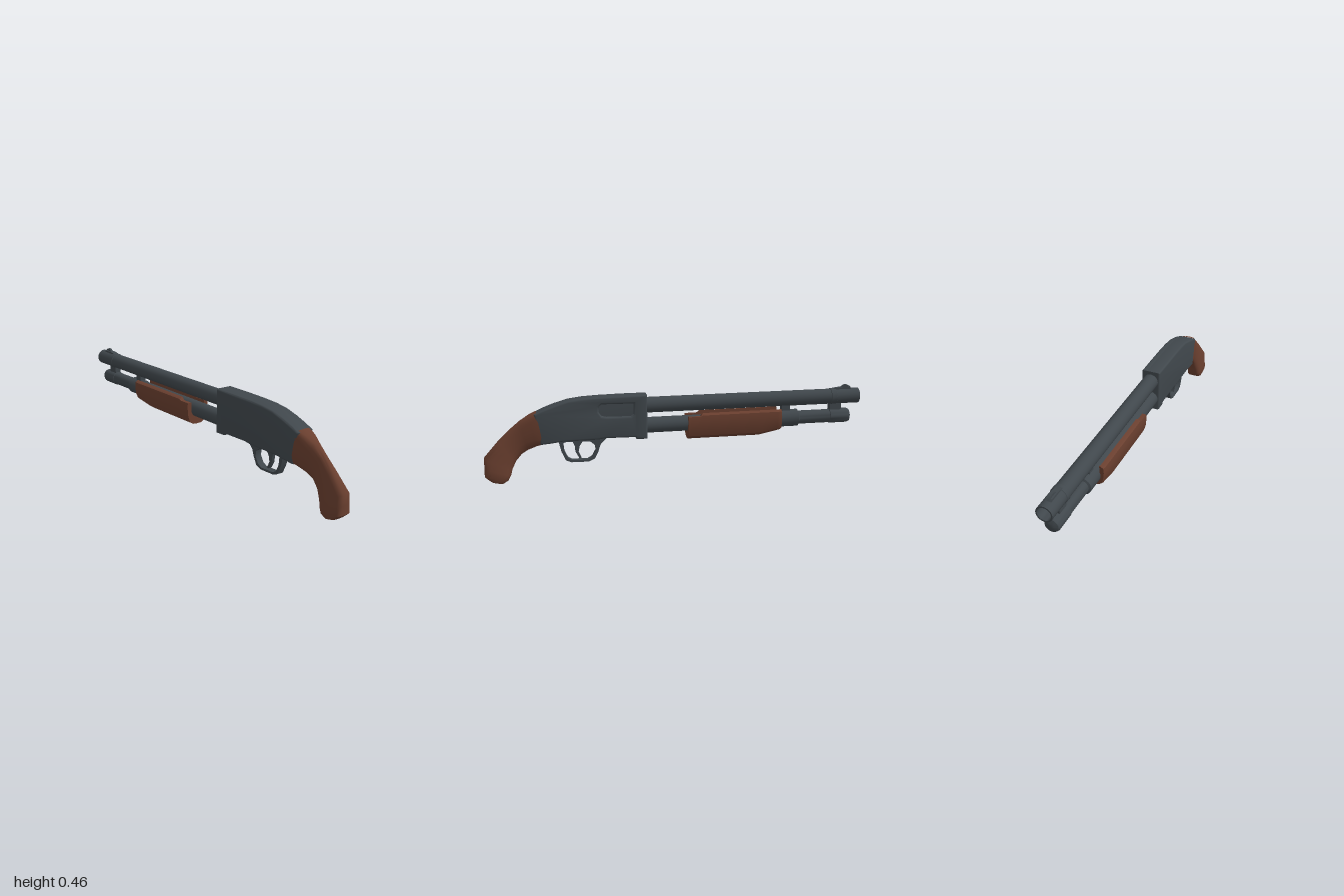
import * as THREE from 'three';
import { toCreasedNormals } from 'three/addons/utils/BufferGeometryUtils.js';

const steel = new THREE.MeshStandardMaterial({ color: 0x40474c });
steel.name = 'blued steel';
const wood = new THREE.MeshStandardMaterial({ color: 0x6a3f2f });
wood.name = 'brown wood';

function part(parent, name, geometry, material, crease = 0.7) {
  const mesh = new THREE.Mesh(toCreasedNormals(geometry, crease), material);
  mesh.name = name;
  parent.add(mesh);
  return mesh;
}

// Side profile given as [z, y] points, extruded from x0 to x1
function sideExtrude(points, x0, x1, bevel = 0, hole = null) {
  const toV = (list) => list.map(([z, y]) => new THREE.Vector2(-z, y));
  const shape = new THREE.Shape(toV(points));
  if (hole) shape.holes.push(new THREE.Path(toV(hole)));
  const geo = new THREE.ExtrudeGeometry(shape, {
    depth: x1 - x0 - 2 * bevel, bevelEnabled: bevel > 0, bevelSize: bevel,
    bevelThickness: bevel, bevelOffset: -bevel, bevelSegments: 3,
  });
  return geo.rotateY(Math.PI / 2).translate(x0 + bevel, 0, 0);
}

// Turned profile of [radius, distance towards the muzzle]
function turned(profile, y) {
  const pts = profile.map(([r, d]) => new THREE.Vector2(r, d));
  return new THREE.LatheGeometry(pts, 24).rotateX(-Math.PI / 2).translate(0, y, 0);
}

// Skin over sections: [topZ, topY, bottomZ, bottomY, halfWidth, roundness]
function loft(sections, n = 20) {
  const pos = [], index = [];
  const bend = (v, p) => Math.sign(v) * Math.abs(v) ** p;
  for (const [tz, ty, bz, by, w, p] of sections) {
    for (let j = 0; j < n; j++) {
      const a = (j / n) * Math.PI * 2;
      const s = bend(Math.sin(a), p) / 2;
      pos.push(w * bend(Math.cos(a), p), (ty + by) / 2 + (ty - by) * s, (tz + bz) / 2 + (tz - bz) * s);
    }
  }
  const last = sections.length - 1;
  for (let i = 0; i < last; i++) {
    for (let j = 0; j < n; j++) {
      const k = (j + 1) % n, a = i * n, b = a + n;
      index.push(a + j, a + k, b + k, a + j, b + k, b + j);
    }
  }
  const [tz, ty, bz, by] = sections[last];
  pos.push(0, (ty + by) / 2, (tz + bz) / 2);
  for (let j = 0; j < n; j++) index.push(pos.length / 3 - 1, last * n + j, last * n + (j + 1) % n);
  const geo = new THREE.BufferGeometry();
  geo.setAttribute('position', new THREE.Float32BufferAttribute(pos, 3));
  geo.setIndex(index);
  geo.computeVertexNormals();
  return geo;
}

// U-shaped sliding handle, tapered at the muzzle end and notched at the rear
function foreEndGeometry(cy) {
  const outer = [[0.048, 0.055], [0.064, 0.046], [0.067, 0.02], [0.062, -0.03], [0.051, -0.064], [0.028, -0.08]];
  const inner = [[0.042, 0.055], [0.042, 0], [0.03, -0.03]];
  const mirror = (list) => list.map(([x, y]) => [-x, y]).reverse();
  const loop = [...outer, [0, -0.082], ...mirror(outer), ...inner.map(([x, y]) => [-x, y]),
    [0, -0.042], ...[...inner].reverse()];
  const shape = new THREE.Shape(loop.map(([x, y]) => new THREE.Vector2(x, y)));
  const geo = new THREE.ExtrudeGeometry(shape, { depth: 0.505, steps: 40, bevelEnabled: false });
  geo.translate(0, 0, -0.555);
  const p = geo.attributes.position;
  for (let i = 0; i < p.count; i++) {
    let x = p.getX(i), y = p.getY(i);
    const z = p.getZ(i);
    if (Math.hypot(x, y) > 0.045) {
      const t = THREE.MathUtils.clamp((-0.435 - z) / 0.12, 0, 1);
      if (y < 0) y *= 1 - 0.3 * t;
      if (z < -0.55) x *= 0.93;
    }
    if (z > -0.115) y = Math.min(y, 0.04);
    p.setXYZ(i, x, y + cy, z);
  }
  return geo;
}

export function createModel() {
  const model = new THREE.Group();
  model.name = 'shortPumpShotgun';

  // Receiver: solid core plus a right-hand wall with the ejection port cut in it
  const profile = [[0.165, 0.443], [0.3, 0.441], [0.42, 0.437], [0.5, 0.432], [0.57, 0.422], [0.64, 0.401],
    [0.7, 0.378], [0.742, 0.358], [0.712, 0.2], [0.66, 0.205], [0.6, 0.213], [0.42, 0.217],
    [0.38, 0.223], [0.228, 0.223], [0.222, 0.212], [0.165, 0.212]];
  const port = [[0.235, 0.4], [0.4, 0.4], [0.417, 0.385], [0.417, 0.36], [0.4, 0.338], [0.375, 0.333],
    [0.25, 0.333], [0.235, 0.345]];
  const receiver = new THREE.Group();
  receiver.name = 'receiver';
  model.add(receiver);
  part(receiver, 'receiverCore', sideExtrude(profile, -0.05, 0.03, 0.01), steel);
  part(receiver, 'receiverPortWall', sideExtrude(profile, 0.005, 0.05, 0.01, port), steel);

  // Trigger guard and trigger
  const guard = [[0.625, 0.22], [0.609, 0.155], [0.587, 0.108], [0.56, 0.097], [0.47, 0.097], [0.438, 0.112],
    [0.419, 0.15], [0.408, 0.185], [0.365, 0.23], [0.6, 0.23]];
  const opening = [[0.598, 0.2], [0.593, 0.155], [0.576, 0.12], [0.555, 0.108], [0.474, 0.108], [0.45, 0.122],
    [0.432, 0.155], [0.437, 0.185], [0.46, 0.203], [0.58, 0.206]];
  const trigger = [[0.555, 0.215], [0.54, 0.18], [0.537, 0.15], [0.518, 0.115], [0.506, 0.115],
    [0.521, 0.15], [0.515, 0.18], [0.49, 0.215]];
  part(model, 'triggerGuard', sideExtrude(guard, -0.018, 0.018, 0, opening), steel);
  part(model, 'trigger', sideExtrude(trigger, -0.009, 0.009), steel);

  // Bird's-head style pistol grip
  part(model, 'grip', loft([
    [0.73, 0.367, 0.7, 0.198, 0.051, 0.38],
    [0.77, 0.35, 0.73, 0.19, 0.046, 0.5],
    [0.815, 0.322, 0.775, 0.17, 0.034, 0.7],
    [0.865, 0.28, 0.81, 0.148, 0.026, 0.75],
    [0.925, 0.222, 0.84, 0.112, 0.031, 0.75],
    [1.0, 0.136, 0.86, 0.07, 0.041, 0.65],
    [1.0, 0.085, 0.867, 0.042, 0.044, 0.6],
    [1.0, 0.04, 0.88, 0.016, 0.046, 0.55],
    [0.97, 0.014, 0.905, 0.0, 0.038, 0.6],
  ]), wood, 0.8);

  // Barrel, magazine and fore-end share a slight upward tilt
  const front = new THREE.Group();
  front.name = 'frontAssembly';
  front.rotation.x = 0.0165;
  front.position.z = -0.0055;
  model.add(front);
  const barrelY = 0.387, tubeY = 0.28;

  part(front, 'barrel', turned([[0.041, -0.2], [0.041, 0.84], [0.0435, 0.842], [0.0435, 0.87],
    [0.041, 0.872], [0.041, 1], [0.034, 1], [0.034, 0.7], [0, 0.7]], barrelY), steel);
  part(front, 'magazineTube', turned([[0.041, -0.2], [0.041, 0.555], [0.046, 0.556], [0.046, 0.655],
    [0.036, 0.66], [0.036, 0.835], [0.039, 0.837], [0.039, 0.935], [0.034, 0.947], [0.018, 0.954],
    [0, 0.956]], tubeY), steel);

  // Clamps joining the barrel to the magazine
  for (const [z, length] of [[-0.59, 0.045], [-0.87, 0.062]]) {
    const clamp = new THREE.BoxGeometry(0.034, 0.06, length).translate(0, 0.333, z);
    part(front, 'barrelClamp', clamp, steel);
  }

  // Front sight: ramp and blade
  part(front, 'sightRamp', sideExtrude([[-0.845, 0.415], [-0.86, 0.43], [-0.9, 0.435], [-0.95, 0.435],
    [-0.97, 0.415]], -0.015, 0.015), steel);
  part(front, 'sightBlade', sideExtrude([[-0.87, 0.42], [-0.905, 0.437], [-0.92, 0.447], [-0.935, 0.449],
    [-0.955, 0.438], [-0.965, 0.42]], -0.007, 0.007), steel);

  part(front, 'foreEnd', foreEndGeometry(tubeY + 0.001), wood, 0.6);
  return model;
}
